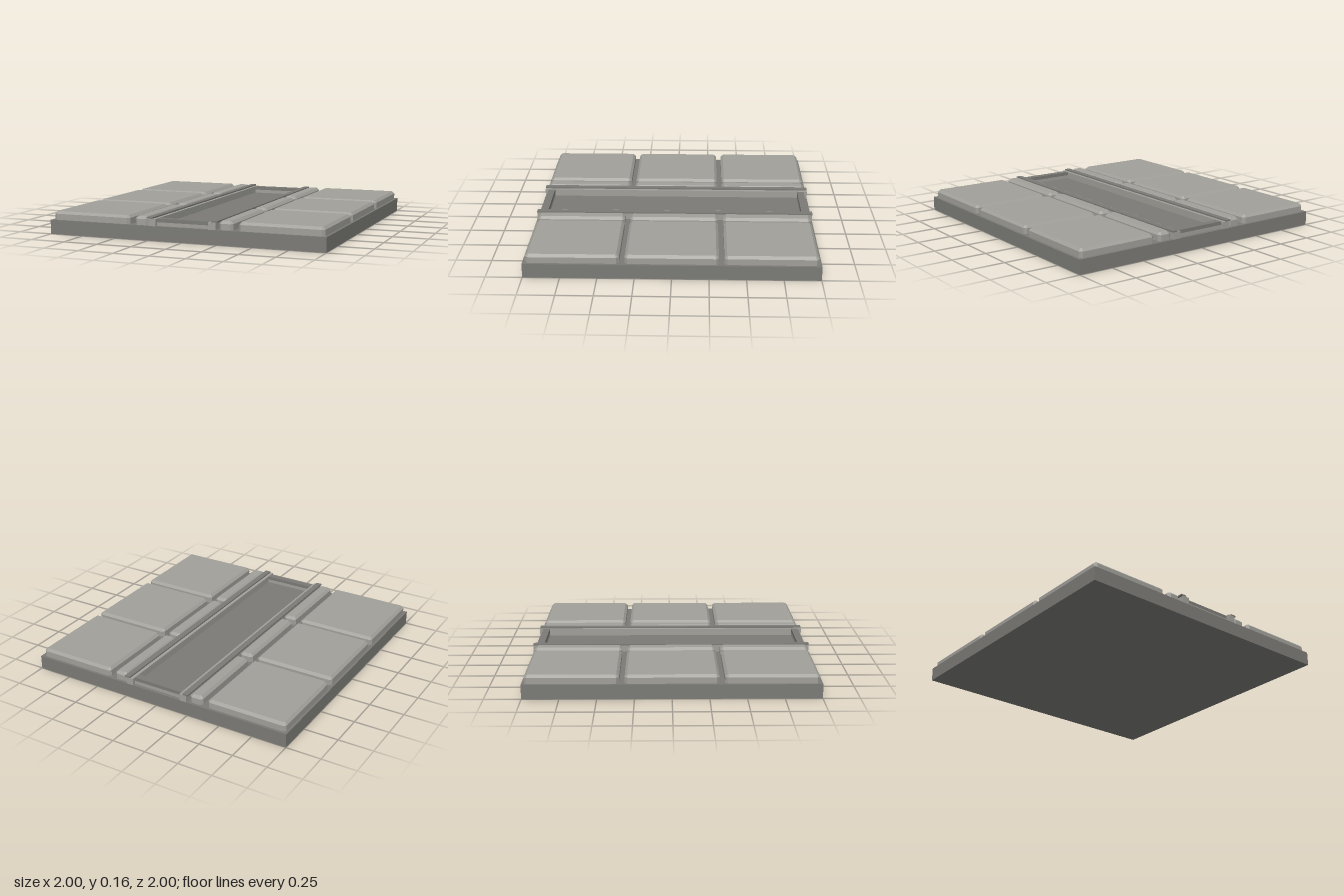
import * as THREE from 'three';

const darkStone = new THREE.MeshStandardMaterial({ name: 'darkStone', color: 0x7b7a76 });
const lightStone = new THREE.MeshStandardMaterial({ name: 'lightStone', color: 0xa09f99 });

// Box given by its minimum and maximum corners
function block(name, material, [x0, y0, z0], [x1, y1, z1]) {
  const geometry = new THREE.BoxGeometry(x1 - x0, y1 - y0, z1 - z0);
  const mesh = new THREE.Mesh(geometry, material);
  mesh.position.set((x0 + x1) / 2, (y0 + y1) / 2, (z0 + z1) / 2);
  mesh.name = name;
  return mesh;
}

// Slab with clipped corners and a chamfered top; its lower chamfer is sunk in the base
function slab(name, width, length, x, z) {
  const w = width / 2, l = length / 2, c = 0.018, bevel = 0.018;
  const outline = new THREE.Shape([
    [w, c - l], [w, l - c], [w - c, l], [c - w, l],
    [-w, l - c], [-w, c - l], [c - w, -l], [w - c, -l],
  ].map(([px, py]) => new THREE.Vector2(px, py)));
  const geometry = new THREE.ExtrudeGeometry(outline, {
    depth: 0.06, bevelEnabled: true, bevelSegments: 1,
    bevelSize: bevel, bevelThickness: bevel, bevelOffset: -bevel,
  });
  geometry.rotateX(-Math.PI / 2);
  const mesh = new THREE.Mesh(geometry, lightStone);
  mesh.position.set(x, 0.16 - 0.06 - bevel, z);
  mesh.name = name;
  return mesh;
}

export function createModel() {
  const model = new THREE.Group();
  model.name = 'floorTile';
  model.add(block('base', darkStone, [-1, 0, -1], [1, 0.1, 1]));

  for (const side of [-1, 1]) {
    const span = (a, b) => [Math.min(a * side, b * side), Math.max(a * side, b * side)];

    // Paving slabs and the narrow border stones
    for (const z of [-0.667, 0, 0.667]) {
      model.add(slab('pavingSlab', 0.587, 0.63, side * 0.689, z));
      model.add(slab('borderStone', 0.1, 0.63, side * 0.306, z));
    }

    // Long rails beside the channel, each with an overhanging cap
    const [r0, r1] = span(0.19, 0.243);
    model.add(block('channelRail', lightStone, [r0, 0.1, -1], [r1, 0.15, 1]));
    const [c0, c1] = span(0.214, 0.256);
    model.add(block('railCap', darkStone, [c0, 0.15, -1], [c1, 0.16, 1]));

    // Low sills closing the ends of the channel
    const [z0, z1] = span(0.925, 0.975);
    model.add(block('endSill', lightStone, [-0.19, 0.1, z0], [0.19, 0.125, z1]));
    model.add(block('endSillCap', darkStone, [-0.19, 0.125, z0], [0.19, 0.15, z1]));
  }
  return model;
}
